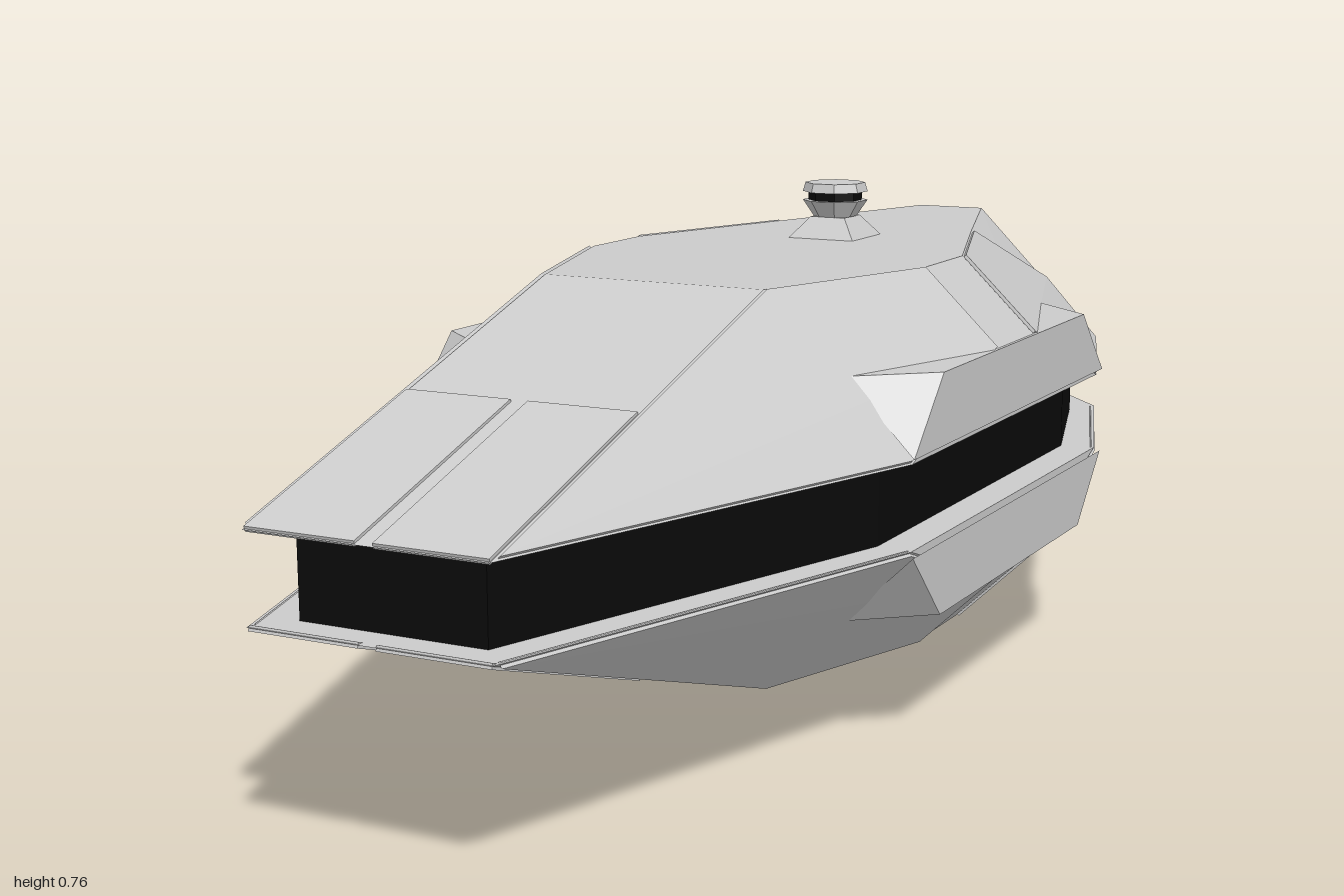
import * as THREE from 'three';
import { ConvexGeometry } from 'three/addons/geometries/ConvexGeometry.js';

const grey = new THREE.MeshStandardMaterial({ color: 0xcccccc, flatShading: true });
const black = new THREE.MeshStandardMaterial({ color: 0x0a0a0a, flatShading: true });

// Heights measured from the middle plane of the hull
const BASE = 0.0625, MID = 0.1775, TOP = 0.2925, RECESS = -0.915;
const V = (x, y, z) => new THREE.Vector3(x, y, z);
const flip = (pts, s) => pts.map(p => V(p.x * s, p.y, p.z));

function add(parent, name, geometry, material = grey) {
  const mesh = new THREE.Mesh(geometry, material);
  mesh.name = name;
  parent.add(mesh);
  return mesh;
}

function normalOf(p) {
  return p[1].clone().sub(p[0]).cross(p[2].clone().sub(p[0])).normalize();
}

// Flat convex polygons, each turned away from (sign 1) or toward (sign -1) the given point
function facets(polys, centre, sign = 1) {
  const out = [];
  for (const poly of polys) {
    const outward = normalOf(poly).dot(poly[0].clone().sub(centre)) * sign > 0;
    const p = outward ? poly : [...poly].reverse();
    for (let i = 1; i < p.length - 1; i++) out.push(p[0], p[i], p[i + 1]);
  }
  const g = new THREE.BufferGeometry().setFromPoints(out);
  g.computeVertexNormals();
  return g;
}

// Thin raised plate: polygon shrunk a little and thickened along its normal
function plate(poly, shrink = 0.98, lift = 0.005) {
  const c = poly.reduce((a, p) => a.add(p), V(0, 0, 0)).divideScalar(poly.length);
  const n = normalOf(poly).multiplyScalar(lift);
  const pts = poly.map(p => p.clone().sub(c).multiplyScalar(shrink).add(c));
  return new ConvexGeometry(pts.flatMap(p => [p.clone().add(n), p.clone().sub(n)]));
}

function turret() {
  const g = new THREE.Group();
  g.name = 'turret';
  // [name, bottom half width, top half width, bottom y, top y, sides, material]
  const rings = [
    ['turretFoot', 0.058, 0.031, 0, 0.034, 4, grey],
    ['turretCup', 0.033, 0.05, 0.034, 0.061, 8, grey],
    ['turretGap', 0.041, 0.041, 0.061, 0.075, 8, black],
    ['turretCap', 0.05, 0.046, 0.075, 0.09, 8, grey],
  ];
  for (const [name, r0, r1, y0, y1, n, mat] of rings) {
    const k = 1 / Math.cos(Math.PI / n);
    const geo = new THREE.CylinderGeometry(r1 * k, r0 * k, y1 - y0, n);
    geo.rotateY(Math.PI / n).translate(0, (y0 + y1) / 2, 0);
    add(g, name, geo, mat);
  }
  g.position.set(0, TOP, -0.355);
  return g;
}

function hullHalf(name) {
  const g = new THREE.Group();
  g.name = name;

  // Facets of the left side, mirrored for the right
  const frontSide = [V(0.18, TOP, 0.28), V(0.29, TOP, -0.05), V(0.41, MID, -0.05), V(0.41, BASE, 0.28), V(0.18, BASE, 1)];
  const middle = [V(0.29, TOP, -0.05), V(0.29, TOP, -0.2), V(0.41, MID, -0.2), V(0.41, MID, -0.05)];
  const flank = [V(0.41, MID, -0.05), V(0.41, MID, -0.2), V(0.41, BASE, -0.52), V(0.41, BASE, 0.28)];
  const rearSide = [V(0.29, TOP, -0.2), V(0.18, TOP, -0.52), V(0.06, TOP, -0.88), V(0.29, BASE, -0.88), V(0.41, BASE, -0.52), V(0.41, MID, -0.2)];
  const rearBevel = [V(0.06, TOP, -0.88), V(0.06, MID, -1), V(0.18, BASE, -1), V(0.29, BASE, -0.88)];
  const baseTip = [V(0.18, BASE, -1), V(0.258, BASE, RECESS), V(0.18, BASE, RECESS)];
  const side = [frontSide, middle, flank, rearSide, rearBevel, baseTip];

  // Facets crossing the centre line, from their left edges
  const across = edge => [...edge, ...flip(edge, -1).reverse()];
  const centre = [
    across([V(0.18, BASE, 1), V(0.18, TOP, 0.28)]),
    across([V(0.18, TOP, 0.28), V(0.29, TOP, -0.05), V(0.29, TOP, -0.2), V(0.18, TOP, -0.52), V(0.06, TOP, -0.88)]),
    across([V(0.06, TOP, -0.88), V(0.06, MID, -1)]),
    across([V(0.18, BASE, 1), V(0.41, BASE, 0.28), V(0.41, BASE, -0.52), V(0.29, BASE, -0.88), V(0.258, BASE, RECESS)]),
  ];
  add(g, 'hullShell', facets([...centre, ...side, ...side.map(p => flip(p, -1))], V(0, 0.17, -0.1)));

  // Walls of the rear opening
  const wall = [V(0.06, MID, -1), V(0.06, MID, RECESS), V(0.18, BASE, RECESS), V(0.18, BASE, -1)];
  const roof = across([V(0.06, MID, -1), V(0.06, MID, RECESS)]);
  add(g, 'rearOpening', facets([wall, flip(wall, -1), roof], V(0, 0, -0.95), -1));

  const rearPanel = [V(0.29, TOP, -0.2), V(0.18, TOP, -0.52), V(0.19, 0.1695, -0.875), V(0.29, BASE, -0.875), V(0.41, BASE, -0.52), V(0.41, MID, -0.2)];
  const nosePanel = [V(0.012, MID, 0.64), V(0.18, MID, 0.64), V(0.18, BASE, 1), V(0.012, BASE, 1)];
  // Wedge that fills out the flank, with a pointed end fore and aft
  const wedge = [
    V(0.415, MID, 0.18), V(0.415, MID, -0.43), V(0.415, BASE + 0.008, 0.285), V(0.415, BASE + 0.008, -0.535),
    V(0.304, MID, 0.275), V(0.304, MID, -0.525),
  ];
  for (const s of [1, -1]) {
    const label = s > 0 ? 'left' : 'right';
    add(g, label + 'FrontPanel', plate(flip(frontSide, s)));
    add(g, label + 'RearPanel', plate(flip(rearPanel, s)));
    add(g, label + 'NosePanel', plate(flip(nosePanel, s), 0.985, 0.004));
    add(g, label + 'SideWedge', new ConvexGeometry(flip(wedge, s)));
  }
  g.add(turret());
  return g;
}

function prism(half, depth) {
  const pts = [...half, ...half.map(([x, y]) => [-x, y]).reverse()];
  const shape = new THREE.Shape(pts.map(([x, y]) => new THREE.Vector2(x, y)));
  return new THREE.ExtrudeGeometry(shape, { depth, bevelEnabled: false });
}

export function createModel() {
  const model = new THREE.Group();
  model.name = 'ship';
  const body = new THREE.Group();
  body.name = 'body';
  body.position.y = 0.3825;
  model.add(body);

  // Twin hull halves, the lower one turned upside down
  body.add(hullHalf('upperHull'));
  const lower = hullHalf('lowerHull');
  lower.rotation.z = Math.PI;
  body.add(lower);

  // Dark core seen in the gap between the halves
  const core = prism([[0.14, 0.945], [0.355, 0.27], [0.355, -0.51], [0.26, -0.83], [0.18, RECESS]], 2 * BASE);
  core.rotateX(Math.PI / 2).translate(0, BASE, 0);
  add(body, 'core', core, black);

  // Dark plug at the bottom of the rear opening
  const plug = prism([[0.06, MID], [0.18, BASE], [0.18, -BASE], [0.06, -MID]], 0.03);
  plug.translate(0, 0, RECESS - 0.001);
  add(body, 'rearPlug', plug, black);

  return model;
}
